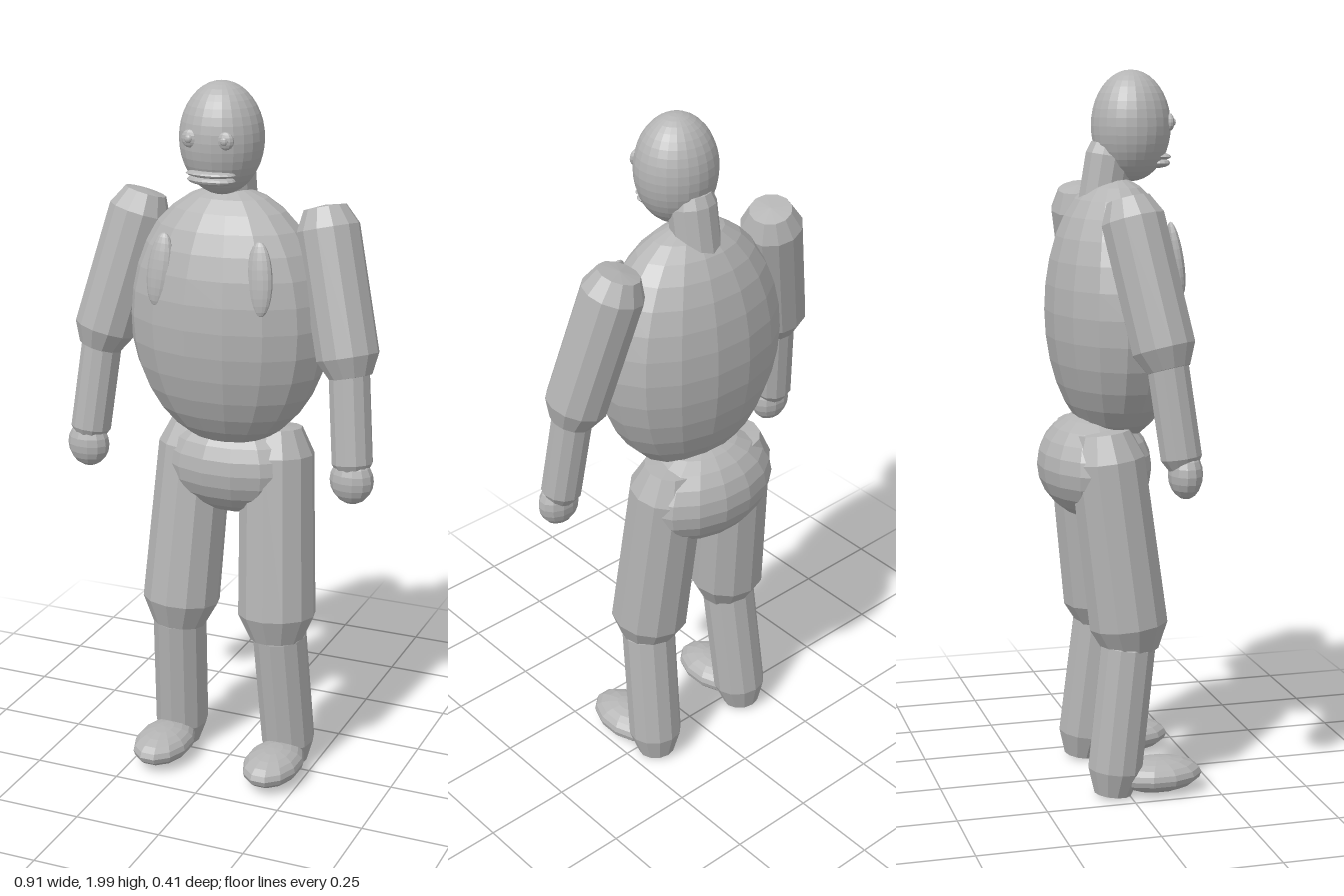
import * as THREE from 'three';

const grey = new THREE.MeshStandardMaterial({ color: 0xb4b4b4, flatShading: true });
grey.name = 'clay grey';

// Faceted ellipsoid, turned half a segment so a flat facet faces the front
function ellipsoid(name, pos, radii, segs = 16, rings = 12, rot = [0, 0, 0]) {
  const geo = new THREE.SphereGeometry(1, segs, rings);
  geo.rotateY(Math.PI / segs);
  geo.scale(...radii);
  const mesh = new THREE.Mesh(geo, grey);
  mesh.name = name;
  mesh.position.set(...pos);
  mesh.rotation.set(...rot);
  return mesh;
}

// Round limb from a (top) to b (bottom) with chamfered, slightly pointed ends
function limb(name, a, b, rTop, rBottom, chamfer, endScale = 0.68, segs = 12) {
  const top = new THREE.Vector3(...a), bottom = new THREE.Vector3(...b);
  const axis = top.clone().sub(bottom), len = axis.length();
  const profile = [
    [0, -0.006], [rBottom * endScale, 0], [rBottom, chamfer],
    [rTop, len - chamfer], [rTop * endScale, len], [0, len + 0.006],
  ].map(([x, y]) => new THREE.Vector2(x, y));
  const mesh = new THREE.Mesh(new THREE.LatheGeometry(profile, segs), grey);
  mesh.name = name;
  mesh.position.copy(bottom);
  mesh.quaternion.setFromUnitVectors(new THREE.Vector3(0, 1, 0), axis.normalize());
  return mesh;
}

export function createModel() {
  const model = new THREE.Group();
  model.name = 'figure';

  // Trunk, neck and head
  model.add(
    ellipsoid('torso', [0, 1.35, 0.004], [0.288, 0.365, 0.186], 16, 16),
    ellipsoid('pelvis', [0, 0.92, -0.052], [0.222, 0.15, 0.156], 16, 12),
    limb('neck', [0, 1.8, -0.003], [0, 1.58, -0.04], 0.066, 0.066, 0.03, 0.85),
    ellipsoid('head', [0, 1.85, 0.053], [0.114, 0.15, 0.109], 24, 20),
    ellipsoid('upperLip', [0, 1.767, 0.128], [0.07, 0.011, 0.034], 16, 8),
    ellipsoid('lowerLip', [0, 1.75, 0.124], [0.068, 0.015, 0.036], 16, 8),
  );

  // Mirrored parts
  for (const [side, s] of [['left', 1], ['right', -1]]) {
    model.add(
      ellipsoid(side + 'Eye', [s * 0.05, 1.86, 0.148], [0.024, 0.024, 0.012], 12, 8),
      ellipsoid(side + 'Pupil', [s * 0.05, 1.86, 0.158], [0.011, 0.011, 0.007], 10, 6),
      ellipsoid(side + 'ChestPad', [s * 0.144, 1.5, 0.14], [0.036, 0.1, 0.018], 14, 12,
        [-0.15, 0, s * 0.08]),

      limb(side + 'UpperArm', [s * 0.262, 1.67, -0.028], [s * 0.372, 1.235, 0.052], 0.086, 0.086, 0.055),
      limb(side + 'Forearm', [s * 0.362, 1.29, 0.045], [s * 0.394, 0.975, 0.085], 0.056, 0.056, 0.03),
      ellipsoid(side + 'Hand', [s * 0.394, 0.96, 0.092], [0.061, 0.066, 0.045], 12, 10),

      limb(side + 'Thigh', [s * 0.12, 1.03, -0.055], [s * 0.152, 0.42, 0.016], 0.105, 0.111, 0.075),
      limb(side + 'Shin', [s * 0.153, 0.5, 0.012], [s * 0.172, 0.015, -0.045], 0.077, 0.077, 0.07),
      ellipsoid(side + 'Foot', [s * 0.172, 0.06, 0.085], [0.082, 0.048, 0.127], 12, 10),
    );
  }
  return model;
}
